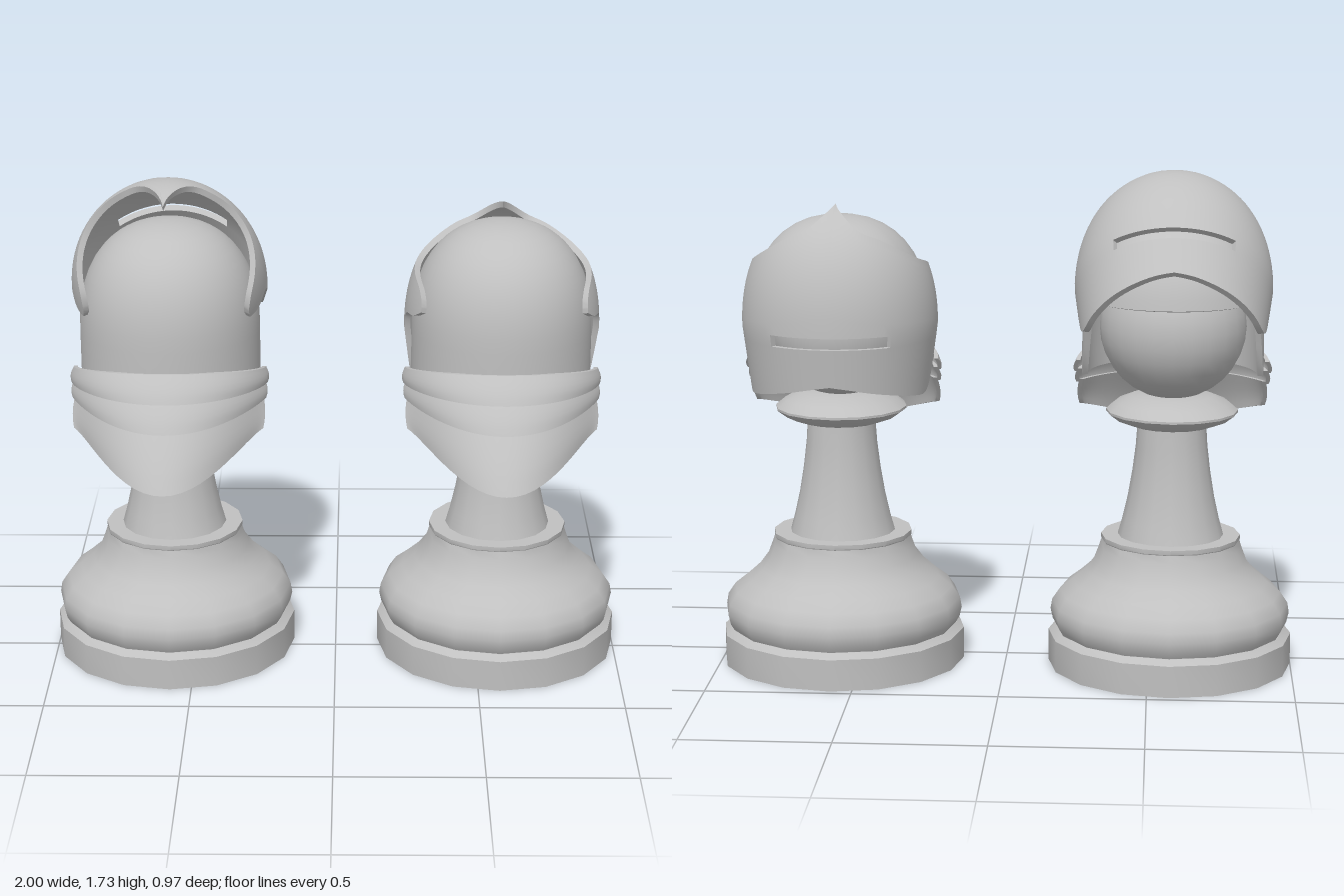
import * as THREE from 'three';
import { toCreasedNormals } from 'three/addons/utils/BufferGeometryUtils.js';

const steel = new THREE.MeshStandardMaterial({ color: 0xc0c0c0 });
steel.name = 'plain grey';
const { lerp, clamp, smoothstep, degToRad } = THREE.MathUtils;

function part(name, geometry) {
  const mesh = new THREE.Mesh(geometry, steel);
  mesh.name = name;
  return mesh;
}

// Curved plate with thickness: point(i, j, depth) gives the outer (0) or inner (1) skin;
// skipped cells become holes, and every open edge gets a wall.
function plate(cols, rows, point, { closed = false, skip = () => false } = {}) {
  const pos = [];
  const quad = (a, b, c, d) => {
    for (const p of [a, b, c, a, c, d]) pos.push(p.x, p.y, p.z);
  };
  const solid = (i, j) => {
    if (closed) i = (i + cols) % cols;
    return i >= 0 && i < cols && j >= 0 && j < rows && !skip(i, j);
  };
  for (let i = 0; i < cols; i++) for (let j = 0; j < rows; j++) {
    if (!solid(i, j)) continue;
    const corners = [[i, j], [i, j + 1], [i + 1, j + 1], [i + 1, j]];
    const out = corners.map(([a, b]) => point(a, b, 0));
    const inn = corners.map(([a, b]) => point(a, b, 1));
    quad(...out);
    quad(inn[3], inn[2], inn[1], inn[0]);
    [[i - 1, j], [i, j + 1], [i + 1, j], [i, j - 1]].forEach(([ni, nj], k) => {
      const n = (k + 1) % 4;
      if (!solid(ni, nj)) quad(out[n], out[k], inn[k], inn[n]);
    });
  }
  const g = new THREE.BufferGeometry();
  g.setAttribute('position', new THREE.Float32BufferAttribute(pos, 3));
  return toCreasedNormals(g, 0.7);
}

// Helmet dome: straight or tapered wall below y0, superellipse cap above
const Y0 = 1.2;
const latitude = (y, H) => (y > Y0 ? Math.asin(Math.min(1, (y - Y0) / H)) : (y - Y0) / H);
function domePoint(phi, lat, { R, H, power, taper, thick }, depth) {
  const r0 = R - thick * depth, h = H - thick * depth;
  const q = lat > 0 ? Math.sin(lat) : 0;
  const y = lat > 0 ? Y0 + h * q : Y0 + H * lat;
  const r = lat > 0
    ? r0 * Math.pow(Math.max(0, 1 - Math.pow(q, power)), 1 / power)
    : r0 + taper * H * lat;
  return new THREE.Vector3(r * Math.sin(phi), y, -r * Math.cos(phi));
}

// Skull cap with an arched face opening
function skullGeometry() {
  const form = { R: 0.312, H: 0.375, power: 2.3, taper: 0, thick: 0.02 };
  const cols = 72, rows = 14;
  return plate(cols, rows, (i, j, d) => {
    const deg = -180 + (360 * (i % cols)) / cols;
    const edge = lerp(1.3, 1.03, smoothstep(Math.abs(deg), 62, 86));
    const lat = lerp(latitude(edge, form.H), Math.PI / 2, j / rows);
    return domePoint(degToRad(deg), lat, form, d);
  }, { closed: true });
}

// Visor: pointed brow, rounded hinge lobes, cheeks and an eye slit
function visorGeometry() {
  const form = { R: 0.338, H: 0.43, power: 2.2, taper: 0.13, thick: 0.021 };
  // Edge points are [degrees from the face centre, height]
  const top = [[0, 1.622], [10, 1.598], [24, 1.545], [40, 1.515], [56, 1.475], [72, 1.44],
    [86, 1.42], [98, 1.405], [112, 1.38], [119, 1.345], [121, 1.315]];
  const bottom = [[0, 1.03], [12, 1.02], [26, 1.005], [42, 0.99], [60, 0.975], [77, 0.972],
    [87, 1.03], [93, 1.2], [99, 1.262], [112, 1.275], [121, 1.3]];
  const spline = (pts) => new THREE.SplineCurve(pts.map(([a, y]) =>
    new THREE.Vector2(degToRad(a), latitude(y, form.H))));
  const upper = spline(top), lower = spline(bottom);
  const half = 40, slitCols = 11, slitRow = 3, rows = 13;
  const column = [];
  for (let c = 0; c <= half; c++) {
    const a = lower.getPoint(c / half), b = upper.getPoint(c / half);
    const at = (y) => (latitude(y, form.H) - a.y) / (b.y - a.y);
    const v0 = clamp(at(1.16), 0.12, 0.42), v1 = v0 + clamp(at(1.2) - at(1.16), 0.02, 0.08);
    column.push({ a, b, v0, v1 });
  }
  return plate(half * 2, rows, (i, j, d) => {
    const side = i < half ? -1 : 1;
    const { a, b, v0, v1 } = column[Math.abs(i - half)];
    const v = j <= slitRow ? (v0 * j) / slitRow
      : lerp(v1, 1, (j - slitRow - 1) / (rows - slitRow - 1));
    return domePoint(side * lerp(a.x, b.x, v), lerp(a.y, b.y, v), form, d);
  }, { skip: (i, j) => j === slitRow && i >= half - slitCols && i < half + slitCols });
}

// One overlapping strip of the flared neck guard, from s0 to s1 down its slope
function lameGeometry(s0, s1) {
  const cols = 32, rows = 5;
  return plate(cols, rows, (i, j, d) => {
    const v = j / rows, s = lerp(s0, s1, v);
    const a = lerp(-Math.PI / 2, Math.PI / 2, i / cols);
    const c = Math.pow(Math.max(0, Math.cos(a)), lerp(1, 2.6, s));
    const lift = 0.014 * Math.sin(v * Math.PI * 0.7) - 0.014 * d;
    const zSide = lerp(0.055, 0.19, s), zBack = lerp(0.315, 0.535, s);
    return new THREE.Vector3(
      (lerp(0.334, 0.315, s) + lift) * Math.sin(a),
      lerp(lerp(1.065, 0.885, s), lerp(1.125, 0.775, s), c),
      lerp(zSide, zBack, c) + lift * Math.cos(a));
  });
}

function lathe(points) {
  const g = new THREE.LatheGeometry(points.map(([r, y]) => new THREE.Vector2(r, y)), 16);
  return toCreasedNormals(g, 0.6);
}

function createPawn(raise) {
  const pawn = new THREE.Group();
  pawn.add(part('base', lathe([[0, 0], [0.425, 0], [0.425, 0.11], [0.4, 0.128], [0, 0.128]])));
  pawn.add(part('bulge', lathe([[0.395, 0.125], [0.41, 0.15], [0.418, 0.185], [0.412, 0.22],
    [0.385, 0.26], [0.34, 0.295], [0.295, 0.335], [0.265, 0.375], [0.248, 0.42], [0.24, 0.445],
    [0.242, 0.448], [0.242, 0.463], [0.18, 0.463]])));
  pawn.add(part('stem', lathe([[0.186, 0.455], [0.168, 0.52], [0.15, 0.6], [0.135, 0.69],
    [0.124, 0.78], [0.118, 0.87]])));
  pawn.add(part('collar', lathe([[0.1, 0.85], [0.14, 0.855], [0.195, 0.875], [0.228, 0.9],
    [0.228, 0.908], [0.195, 0.935], [0.14, 0.958], [0, 0.965]])));
  const ball = part('ball', new THREE.SphereGeometry(0.252, 24, 16));
  ball.position.y = 1.2;
  pawn.add(ball);

  pawn.add(part('skullCap', skullGeometry()));
  [[0, 0.25], [0.2, 0.5], [0.44, 1]].forEach(([s0, s1], k) =>
    pawn.add(part('neckGuardLame' + (k + 1), lameGeometry(s0, s1))));

  // The visor turns about its side hinges
  const hinge = new THREE.Group();
  hinge.name = 'visorHinge';
  hinge.position.set(0, 1.31, 0.135);
  hinge.rotation.x = raise;
  const visor = part('visor', visorGeometry());
  visor.position.copy(hinge.position).negate();
  hinge.add(visor);
  pawn.add(hinge);
  return pawn;
}

export function createModel() {
  const model = new THREE.Group();
  model.name = 'helmetedPawns';
  for (const [name, x, raise] of [['leftPawn', 0.575, 0], ['rightPawn', -0.575, 0.808]]) {
    const pawn = createPawn(raise);
    pawn.name = name;
    pawn.position.set(x, 0, -0.055);
    model.add(pawn);
  }
  return model;
}
